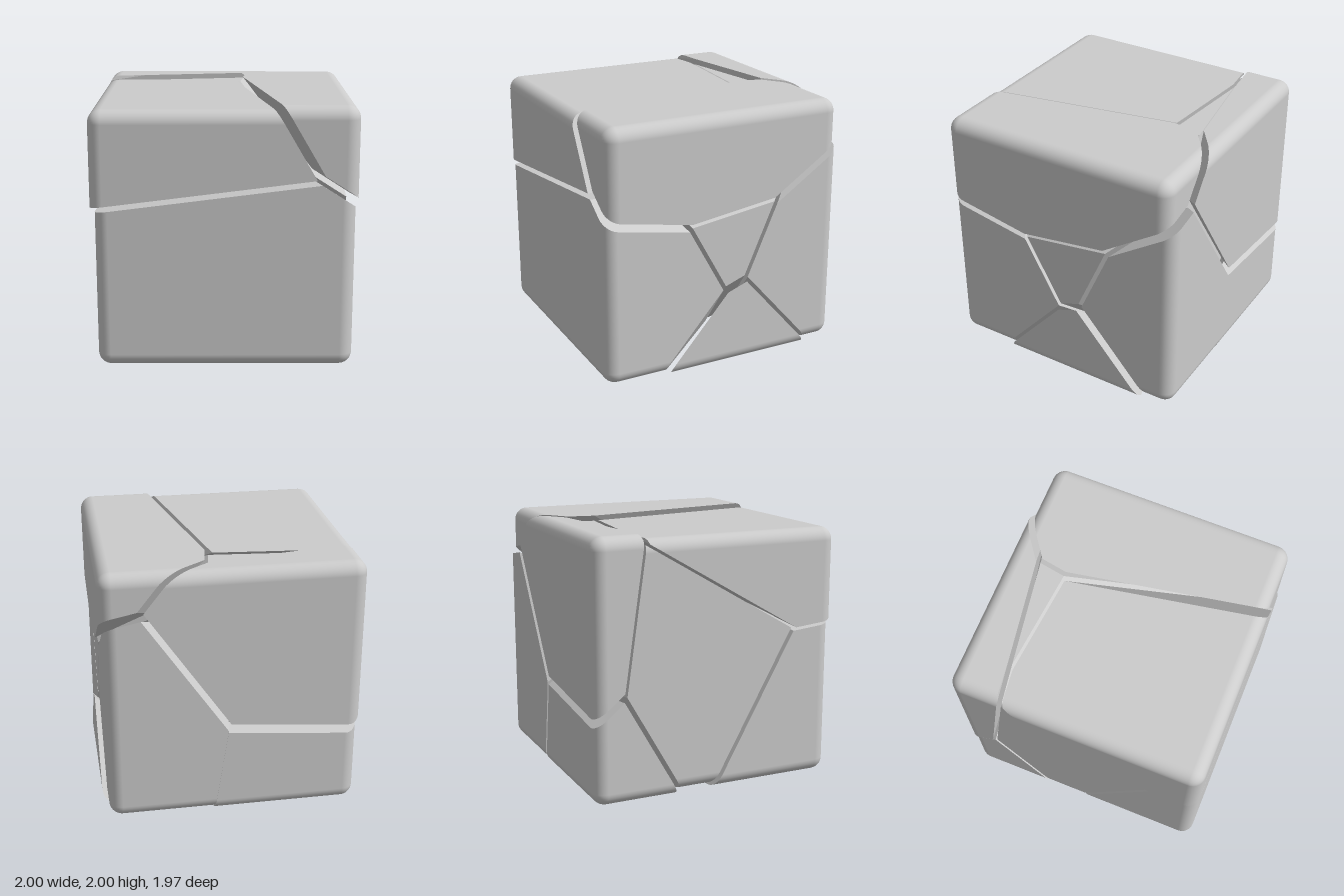
import * as THREE from 'three';
import { RoundedBoxGeometry } from 'three/addons/geometries/RoundedBoxGeometry.js';

const SIZE = 1.925, RADIUS = 0.1;

// Each fragment owns the region where its linear field (x, y, z, constant)
// is the largest; shift is how far it has moved out of the block.
const FRAGMENTS = [
  { name: 'upperFrontFragment', field: [0, 0, 0, 0], shift: [-0.037, 0.007, 0.022] },
  { name: 'lowerFrontFragment', field: [0.102, -0.818, 0.074, 0.225], shift: [0, -0.028, 0.022] },
  { name: 'upperSideFragment', field: [1, 0.585, -0.185, -0.795], shift: [0.022, 0.037, 0.01] },
  { name: 'coreFragment', field: [0.032, -0.585, -0.345, 0.372], shift: [0, 0, 0] },
  { name: 'backSideFragment', field: [0.688, -0.975, -1.23, -0.53], shift: [0, -0.018, -0.028] },
  { name: 'upperBackFragment', field: [-0.208, -0.37, -1.84, -0.9115], shift: [-0.02, 0.037, -0.024] },
  { name: 'lowerBackFragment', field: [-0.139, -1.1, -1.245, -0.54], shift: [0, -0.037, -0.02] },
  { name: 'lowerSideFragment', field: [0.93, -1.47, -0.667, -0.815], shift: [0.037, -0.037, 0] },
];

// Rounded block as a list of polygons; every corner holds a position and a normal
function blockPolygons() {
  let geo = new RoundedBoxGeometry(SIZE, SIZE, SIZE, 5, RADIUS);
  if (geo.index) geo = geo.toNonIndexed();
  const { position, normal } = geo.attributes;
  const polygons = [];
  for (let i = 0; i < position.count; i += 3) {
    polygons.push([0, 1, 2].map((k) => ({
      p: new THREE.Vector3().fromBufferAttribute(position, i + k),
      n: new THREE.Vector3().fromBufferAttribute(normal, i + k),
    })));
  }
  return polygons;
}

// Flat convex face through the cut points, facing along n
function capPolygon(points, n) {
  const unique = [];
  for (const p of points) {
    if (!unique.some((q) => q.distanceToSquared(p) < 1e-10)) unique.push(p);
  }
  if (unique.length < 3) return null;
  const centre = new THREE.Vector3();
  unique.forEach((p) => centre.addScaledVector(p, 1 / unique.length));
  const helper = Math.abs(n.y) < 0.8 ? new THREE.Vector3(0, 1, 0) : new THREE.Vector3(1, 0, 0);
  const u = helper.cross(n).normalize();
  const v = n.clone().cross(u);
  const angle = (p) => {
    const d = p.clone().sub(centre);
    return Math.atan2(d.dot(v), d.dot(u));
  };
  unique.sort((a, b) => angle(a) - angle(b));
  return unique.map((p) => ({ p, n }));
}

// Keep the part of a convex solid where plane distance >= 0 and close the cut
function clipSolid(polygons, plane) {
  const result = [], cut = [];
  for (const poly of polygons) {
    const kept = [];
    poly.forEach((a, i) => {
      const b = poly[(i + 1) % poly.length];
      const da = plane.distanceToPoint(a.p), db = plane.distanceToPoint(b.p);
      if (da >= 0) kept.push(a);
      if ((da >= 0) !== (db >= 0)) {
        const t = da / (da - db);
        const corner = { p: a.p.clone().lerp(b.p, t), n: a.n.clone().lerp(b.n, t).normalize() };
        kept.push(corner);
        cut.push(corner.p);
      }
    });
    if (kept.length > 2) result.push(kept);
  }
  const cap = capPolygon(cut, plane.normal.clone().negate());
  if (cap) result.push(cap);
  return result;
}

function toGeometry(polygons) {
  const pos = [], nor = [];
  for (const poly of polygons) {
    for (let i = 1; i < poly.length - 1; i++) {
      for (const c of [poly[0], poly[i], poly[i + 1]]) {
        pos.push(c.p.x, c.p.y, c.p.z);
        nor.push(c.n.x, c.n.y, c.n.z);
      }
    }
  }
  const geo = new THREE.BufferGeometry();
  geo.setAttribute('position', new THREE.Float32BufferAttribute(pos, 3));
  geo.setAttribute('normal', new THREE.Float32BufferAttribute(nor, 3));
  return geo;
}

export function createModel() {
  const group = new THREE.Group();
  group.name = 'fracturedBlock';
  const material = new THREE.MeshStandardMaterial({ color: 0xcccccc });
  const block = blockPolygons();

  for (const piece of FRAGMENTS) {
    let solid = block;
    // Cut away everything that belongs to the other fragments
    for (const other of FRAGMENTS) {
      if (other === piece) continue;
      const [x, y, z, c] = piece.field.map((f, k) => f - other.field[k]);
      solid = clipSolid(solid, new THREE.Plane(new THREE.Vector3(x, y, z), c).normalize());
    }
    const mesh = new THREE.Mesh(toGeometry(solid), material);
    mesh.name = piece.name;
    mesh.position.set(piece.shift[0], 1 + piece.shift[1], piece.shift[2]);
    group.add(mesh);
  }
  return group;
}
